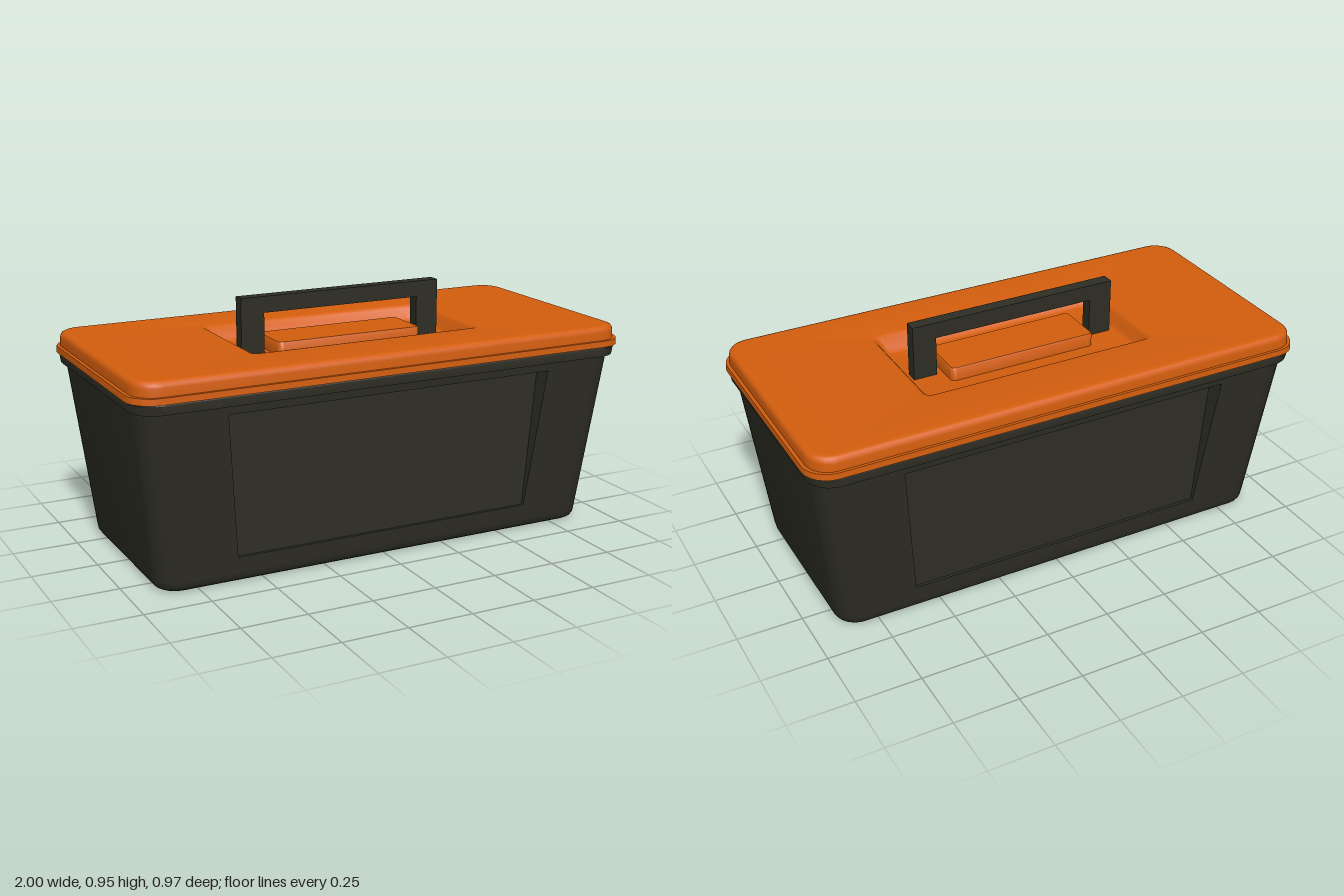
import * as THREE from 'three';
import { toCreasedNormals } from 'three/addons/utils/BufferGeometryUtils.js';

const N = 6; // segments per rounded corner

// Rounded rectangle in plan: half width, half depth, corner radius, height
function ring([hx, hz, r, y]) {
  const pts = [];
  for (let k = 0; k < 4; k++) {
    const cx = (k === 0 || k === 3 ? 1 : -1) * (hx - r);
    const cz = (k < 2 ? 1 : -1) * (hz - r);
    for (let i = 0; i <= N; i++) {
      const a = (k + i / N) * Math.PI / 2;
      pts.push(new THREE.Vector3(cx + r * Math.cos(a), y, cz + r * Math.sin(a)));
    }
  }
  return pts;
}

function tri(out, a, b, c) {
  if (a.equals(b) || b.equals(c) || a.equals(c)) return;
  for (const p of [a, b, c]) out.push(p.x, p.y, p.z);
}

function quad(out, a, b, c, d) {
  tri(out, a, b, c);
  tri(out, a, c, d);
}

// Skin a list of rings; a long side of the wall at recessLevel gets a sunken panel
function loft(sections, recessLevel = -1) {
  const out = [];
  const rings = sections.map(ring);
  for (let l = 0; l < rings.length - 1; l++) {
    const p = rings[l], q = rings[l + 1];
    for (let i = 0; i < p.length; i++) {
      const j = (i + 1) % p.length;
      const side = i === N ? 1 : i === 3 * N + 2 ? -1 : 0;
      if (l === recessLevel && side) recessedWall(out, [p[i], q[i], q[j], p[j]], side);
      else quad(out, p[i], q[i], q[j], p[j]);
    }
  }
  const g = new THREE.BufferGeometry();
  g.setAttribute('position', new THREE.Float32BufferAttribute(out, 3));
  return toCreasedNormals(g, 0.75);
}

// Sloping wall with a trapezoid opening and an upright panel behind it
function recessedWall(out, outer, side) {
  const [low, high] = outer;
  const opening = [[0.605, 0.1], [0.655, 0.65], [-0.655, 0.65], [-0.605, 0.1]];
  const edge = opening.map(([x, y]) => {
    const t = (y - low.y) / (high.y - low.y);
    return new THREE.Vector3(x * side, y, low.z + (high.z - low.z) * t);
  });
  const floor = opening.map(([x, y]) => new THREE.Vector3(x * side, y, 0.386 * side));
  for (let k = 0; k < 4; k++) {
    const n = (k + 1) % 4;
    quad(out, outer[k], outer[n], edge[n], edge[k]);
    quad(out, edge[k], edge[n], floor[n], floor[k]);
  }
  quad(out, ...floor);
}

export function createModel() {
  const model = new THREE.Group();
  model.name = 'toolbox';
  const dark = new THREE.MeshStandardMaterial({ color: 0x2e2e25 });
  dark.name = 'dark olive plastic';
  const orange = new THREE.MeshStandardMaterial({ color: 0xd45e0e });
  orange.name = 'orange plastic';

  const add = (name, geometry, material) => {
    const mesh = new THREE.Mesh(geometry, material);
    mesh.name = name;
    model.add(mesh);
    return mesh;
  };

  // Tapered tub with rounded bottom edge and front and back panels
  add('body', loft([
    [0, 0, 0, 0],
    [0.86, 0.353, 0.055, 0],
    [0.872, 0.365, 0.067, 0],
    [0.886, 0.379, 0.08, 0.008],
    [0.894, 0.387, 0.088, 0.02],
    [0.898, 0.391, 0.092, 0.04],
    [0.97, 0.462, 0.1, 0.685],
  ], 5), dark);

  // Flared lip around the tub
  add('bodyLip', loft([
    [0.94, 0.43, 0.07, 0.682],
    [0.987, 0.474, 0.1, 0.682],
    [0.991, 0.478, 0.1, 0.715],
    [0.987, 0.474, 0.1, 0.721],
    [0.9, 0.4, 0.05, 0.721],
  ]), dark);

  // Lid: rim, rounded top edge and a soft-edged well for the handle
  add('lid', loft([
    [0.94, 0.43, 0.07, 0.721],
    [1, 0.483, 0.1, 0.721],
    [0.998, 0.482, 0.1, 0.745],
    [0.985, 0.471, 0.09, 0.745],
    [0.984, 0.47, 0.09, 0.775],
    [0.982, 0.468, 0.088, 0.785],
    [0.976, 0.462, 0.082, 0.793],
    [0.966, 0.452, 0.072, 0.797],
    [0.95, 0.436, 0.056, 0.797],
    [0.48, 0.255, 0.03, 0.797],
    [0.47, 0.245, 0.03, 0.795],
    [0.46, 0.233, 0.03, 0.783],
    [0.447, 0.214, 0.03, 0.75],
    [0.438, 0.204, 0.03, 0.738],
    [0.428, 0.194, 0.03, 0.736],
    [0, 0, 0, 0.736],
  ]), orange);

  // Raised block in the well
  add('wellBlock', loft([
    [0.3, 0.1, 0.02, 0.735],
    [0.3, 0.1, 0.02, 0.782],
    [0.296, 0.096, 0.017, 0.787],
    [0, 0, 0, 0.787],
  ]), orange);

  // Square-cornered carrying handle
  const outline = new THREE.Shape([
    [-0.418, 0.734], [-0.325, 0.734], [-0.325, 0.888], [0.325, 0.888],
    [0.325, 0.734], [0.418, 0.734], [0.418, 0.95], [-0.418, 0.95],
  ].map(([x, y]) => new THREE.Vector2(x, y)));
  const handle = new THREE.ExtrudeGeometry(outline, { depth: 0.048, bevelEnabled: false });
  add('handle', handle.translate(0, 0, -0.024), dark);

  return model;
}
